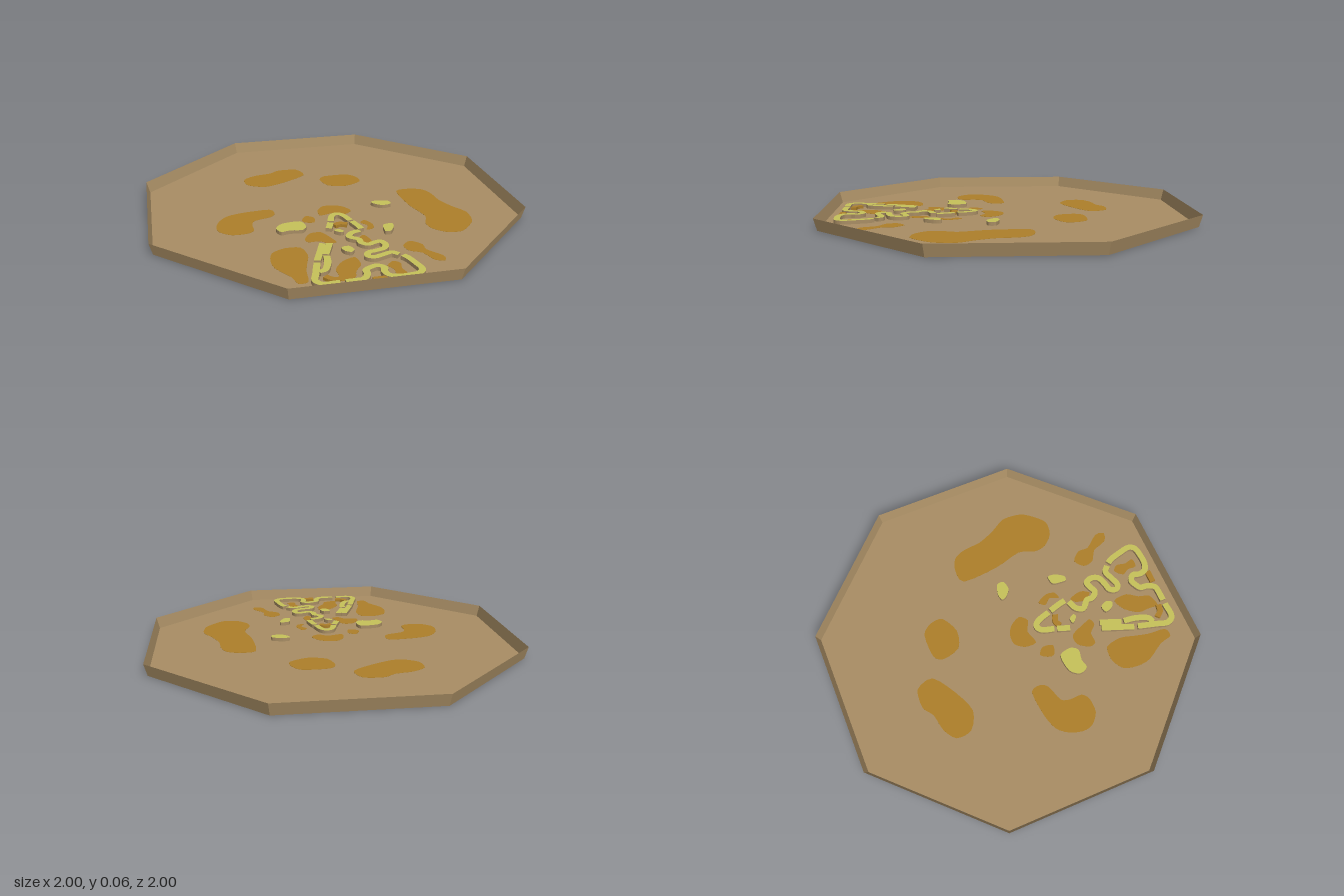
import * as THREE from 'three';

// Outlines and paths are flat lists of x, z in hundredths of a unit.
const points = (list) => {
  const out = [];
  for (let i = 0; i < list.length; i += 2) out.push(new THREE.Vector3(list[i] / 100, list[i + 1] / 100, 0));
  return out;
};

// Closed, softly rounded blob outline
function blobShape(list) {
  const pts = points(list);
  const curve = new THREE.CatmullRomCurve3(pts, true, 'catmullrom', 0.4);
  const n = pts.length * 3;
  return new THREE.Shape(Array.from({ length: n }, (_, i) => {
    const p = curve.getPoint(i / n);
    return new THREE.Vector2(p.x, p.y);
  }));
}

// Ribbon of constant width along an open path
function ribbonShape(list, width) {
  const pts = points(list);
  const curve = new THREE.CatmullRomCurve3(pts, false, 'centripetal');
  const n = pts.length === 2 ? 1 : (pts.length - 1) * 4;
  const left = [], right = [];
  for (let i = 0; i <= n; i++) {
    const p = curve.getPoint(i / n), t = curve.getTangent(i / n);
    const dx = -t.y * width / 2, dy = t.x * width / 2;
    left.push(new THREE.Vector2(p.x + dx, p.y + dy));
    right.unshift(new THREE.Vector2(p.x - dx, p.y - dy));
  }
  return new THREE.Shape([...left, ...right]);
}

export function createModel() {
  const group = new THREE.Group();
  const earth = new THREE.MeshStandardMaterial({ color: 0xa88d64, flatShading: true, side: THREE.DoubleSide });
  earth.name = 'earth';
  const ochre = new THREE.MeshStandardMaterial({ color: 0xad7f2a });
  ochre.name = 'ochre';
  const grass = new THREE.MeshStandardMaterial({ color: 0xc6c159 });
  grass.name = 'grass';

  const add = (name, geometry, material) => {
    const mesh = new THREE.Mesh(geometry, material);
    mesh.name = name;
    group.add(mesh);
  };
  // Lay a shape flat and extrude it between two heights
  const slab = (name, shape, bottom, top, material) => {
    const geometry = new THREE.ExtrudeGeometry(shape, { depth: top - bottom, bevelEnabled: false, curveSegments: 1 });
    geometry.rotateX(Math.PI / 2).translate(0, top, 0);
    add(name, geometry, material);
  };

  // Octagonal tray: flared rim and flat floor
  const corner = 1 / Math.cos(Math.PI / 8);
  const rim = new THREE.CylinderGeometry(corner, 0.983 * corner, 0.065, 8, 1, true, Math.PI / 8);
  add('rim', rim.translate(0, 0.0325, 0), earth);
  const floor = new THREE.CircleGeometry(0.983 * corner, 8, Math.PI / 8);
  add('floor', floor.rotateX(-Math.PI / 2).translate(0, 0.002, 0), earth);

  // Flat ground patches, seen from both sides of the floor
  const patch = (...list) => slab('groundPatch', blobShape(list), 0.001, 0.003, ochre);
  patch(-42, -48, -35, -53, -25, -55, -19, -59, -8, -58, -5, -48, -18, -39, -31, -34, -41, -39);
  patch(3, -38, 7, -43, 21, -43, 26, -37, 26, -30, 16, -25, 6, -28);
  patch(-65, 17, -63, 10, -58, 4, -49, 1, -34, 0, -32, 6, -35, 10, -44, 13, -46, 18, -46, 25, -50, 28, -58, 28, -64, 23);
  patch(43, -10, 52, -12, 59, -9, 62, -2, 63, 8, 67, 18, 72, 27, 71, 38, 66, 45, 60, 50, 52, 49, 46, 43, 45, 36, 48, 27, 44, 11);
  patch(-8, 14, -8, 7, -4, 2, 2, 2, 7, 5, 10, 11, 6, 15, 0, 12);
  patch(-19, 18, -16, 13, -12, 16, -13, 22, -18, 21);
  patch(11, 28, 14, 25, 17, 31, 16, 36, 12, 37, 14, 32);
  patch(-22, 41, -18, 35, -12, 35, -8, 44, -7, 48, -11, 49, -15, 45, -21, 45);
  patch(-43, 61, -41, 53, -34, 49, -26, 50, -24, 59, -26, 67, -28, 75, -29, 85, -34, 86, -36, 79, -42, 69);
  patch(-14, 76, -9, 69, -2, 66, -1, 74, -5, 80, -7, 86, -14, 88, -14, 82);
  patch(11, 78, 15, 74, 18, 77, 17, 82, 18, 87, 13, 87, 13, 82);
  patch(25, 59, 30, 55, 35, 60, 35, 66, 41, 74, 40, 79, 35, 77, 32, 69, 26, 65);
  patch(6, 45, 9, 43, 11, 50, 8, 55, 5, 50);

  // Raised mounds with grassy tops and earth sides
  const mound = (...list) => slab('mound', blobShape(list), 0, 0.022, [grass, earth]);
  mound(-35, 29, -31, 24, -21, 23, -19, 30, -22, 34, -28, 33, -33, 34);
  mound(23, 6, 27, 5, 33, 7, 33, 11, 28, 12, 24, 9);
  mound(20, 42, 21, 37, 26, 36, 26, 40, 23, 45, 20, 45);
  mound(-6, 38, -3, 37, -1, 40, -3, 41);
  mound(-7, 58, -3, 57, -1, 61, -3, 64, -6, 62);

  // Winding ridge, in segments with narrow gaps
  const ridge = (...list) => slab('ridge', ribbonShape(list, 0.034), 0, 0.022, [grass, earth]);
  ridge(-8, 35, -5.5, 28);
  ridge(-5, 26.5, -3, 20, -1, 18, 1, 18, 3, 20, 5.5, 27.5);
  ridge(6, 29, 8, 36, 8.5, 39);
  ridge(7, 41, 2, 43, 0, 47, 4, 51, 4, 54.5, 7, 57.5, 11, 56, 14, 55.5, 15.5, 59, 14, 63, 9, 65, 5, 66, 3.5, 69.5,
    6, 71.5, 11, 70, 16, 68.5, 19, 71);
  ridge(20.5, 72.5, 22, 75, 24, 82, 25, 88, 23, 91, 18, 92, 12, 92, 8, 90, 7, 86, 8, 82.5, 5, 80, 2, 81, -1, 83, -1.5, 87, -4, 91, -8, 91.5, -13, 91.5);
  ridge(-15.5, 91.5, -24, 91.5, -26.5, 88, -25, 82, -22, 71);
  ridge(-21.5, 69, -15, 51.5);
  ridge(-11.5, 52, -16, 63.5);
  ridge(-16, 65, -17, 72, -20, 79, -23, 80);

  // Low bridges beside the ridge
  const bridge = (...list) => slab('bridge', ribbonShape(list, 0.032), 0, 0.018, ochre);
  bridge(-4, 30.5, -1, 29, 3, 30.5);
  bridge(-21, 84, -18.5, 87, -14.5, 88);
  bridge(0, 91.5, 7, 91.5);

  return group;
}
